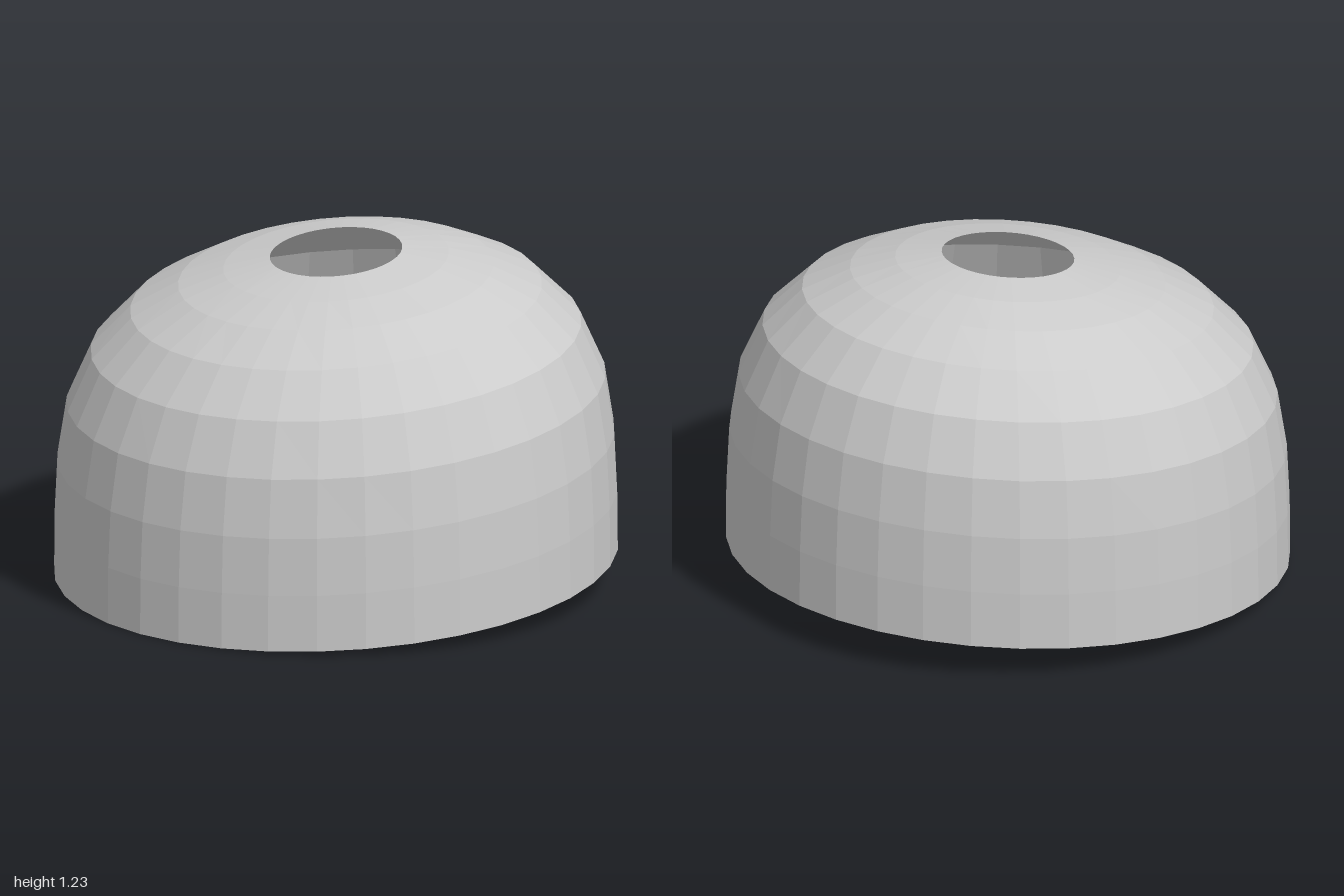
import * as THREE from 'three';

// Profile of the open dome, bottom to top: radius, mean height, sideways slope of the ring
const rings = [
  [1.0, 0.072, 0.072],
  [0.998, 0.28, 0.076],
  [0.988, 0.49, 0.08],
  [0.955, 0.70, 0.084],
  [0.87, 0.89, 0.092],
  [0.73, 1.032, 0.1],
  [0.56, 1.118, 0.105],
  [0.40, 1.167, 0.115],
  [0.235, 1.198, 0.12],
];
const SEGMENTS = 36;

export function createModel() {
  const group = new THREE.Group();
  group.name = 'slantedDome';

  const profile = rings.map(([radius, height]) => new THREE.Vector2(radius, height));
  const geometry = new THREE.LatheGeometry(profile, SEGMENTS);

  // Tilt each ring upwards towards +x, keeping it round from above
  const position = geometry.attributes.position;
  for (let i = 0; i < position.count; i++) {
    const slope = rings[i % rings.length][2];
    position.setY(i, position.getY(i) + slope * position.getX(i));
  }
  geometry.computeVertexNormals();

  // Thin shell, open at the base and at the round hole on top
  const shell = new THREE.Mesh(geometry, new THREE.MeshStandardMaterial({
    color: 0xcccccc, flatShading: true, side: THREE.DoubleSide,
  }));
  shell.name = 'domeShell';
  group.add(shell);
  return group;
}
